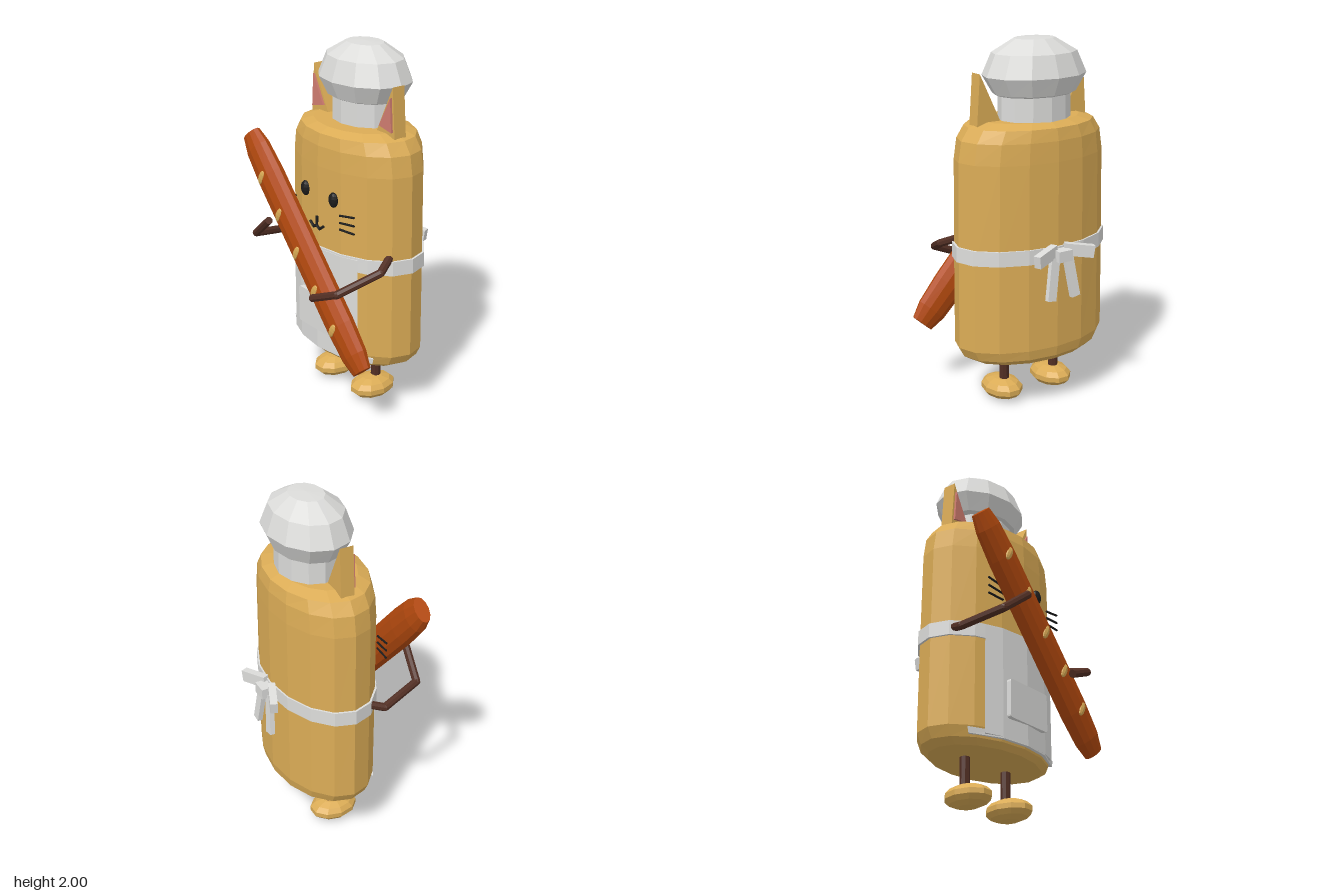
import * as THREE from 'three';

const mat = (name, color) => {
  const m = new THREE.MeshStandardMaterial({ color });
  m.name = name;
  return m;
};

export function createModel() {
  const model = new THREE.Group();
  const fur = mat('tan fur', 0xdbac56);
  const white = mat('white cloth', 0xdcdcda);
  const crust = mat('crust', 0xb3490e);
  const brown = mat('dark brown limbs', 0x522f24);
  const pink = mat('pink ear', 0xd07c70);
  const black = mat('black', 0x1c1c1c);

  // Adds a faceted mesh
  const add = (name, geo, material, pos = [0, 0, 0], rot = [0, 0, 0]) => {
    const g = geo.index ? geo.toNonIndexed() : geo;
    g.computeVertexNormals();
    const mesh = new THREE.Mesh(g, material);
    mesh.name = name;
    mesh.position.set(...pos);
    mesh.rotation.set(...rot);
    model.add(mesh);
    return mesh;
  };

  // Evenly spaced angles of a full turn
  const turn = (n) => Array.from({ length: n + 1 }, (_, i) => (i / n) * Math.PI * 2);

  // Skin over elliptical rings [y, x radius, z radius]
  const loft = (rings, angles) => {
    const pos = [], idx = [], n = angles.length;
    for (const [y, rx, rz] of rings) {
      for (const a of angles) pos.push(rx * Math.sin(a), y, rz * Math.cos(a));
    }
    for (let r = 0; r < rings.length - 1; r++) {
      for (let i = 0; i < n - 1; i++) {
        const a = r * n + i, b = a + 1, c = b + n, d = a + n;
        if (rings[r][1] > 0) idx.push(a, b, c);
        if (rings[r + 1][1] > 0) idx.push(a, c, d);
        else idx.push(a, b, d);
      }
    }
    const g = new THREE.BufferGeometry();
    g.setAttribute('position', new THREE.Float32BufferAttribute(pos, 3));
    g.setIndex(idx);
    return g;
  };

  // Straight round rod between two points
  const rod = (name, a, b, r, material, sides = 8) => {
    const p = new THREE.Vector3(...a), q = new THREE.Vector3(...b);
    const d = q.clone().sub(p);
    const mesh = add(name, new THREE.CylinderGeometry(r, r, d.length(), sides), material,
      p.clone().add(q).multiplyScalar(0.5).toArray());
    mesh.quaternion.setFromUnitVectors(new THREE.Vector3(0, 1, 0), d.normalize());
  };

  const ellipsoid = (name, material, pos, size, rot, w = 10, h = 7) =>
    add(name, new THREE.SphereGeometry(1, w, h).scale(...size), material, pos, rot);

  // Body
  const bodyZ = -0.062;
  add('body', loft([
    [0.28, 0, 0], [0.28, 0.37, 0.235], [0.31, 0.42, 0.262], [0.365, 0.45, 0.272],
    [0.85, 0.446, 0.272], [1.38, 0.438, 0.271], [1.49, 0.42, 0.268],
    [1.555, 0.375, 0.255], [1.58, 0.29, 0.2], [1.58, 0, 0],
  ], turn(16)), fur, [0, 0, bodyZ]);

  // Belt
  add('belt', loft([
    [0.85, 0.44, 0.268], [0.85, 0.459, 0.281], [0.93, 0.457, 0.281], [0.93, 0.436, 0.268],
  ], turn(16)), white, [0, 0, bodyZ]);

  // Apron panel wrapped round the front, with a wider hem
  const eighth = Math.PI / 8;
  const wrap = (end) => [-end, -eighth, 0, eighth, end];
  add('apron', loft([
    [0.33, 0.4, 0.25], [0.33, 0.456, 0.284], [0.92, 0.456, 0.284], [0.92, 0.4, 0.25],
  ], wrap(0.65)), white, [0, 0, bodyZ]);
  add('apronHem', loft([
    [0.322, 0.4, 0.25], [0.322, 0.44, 0.284], [0.355, 0.45, 0.284], [0.355, 0.4, 0.25],
  ], wrap(0.9)), white, [0, 0, bodyZ]);

  // Pocket with rounded corners
  const pocket = new THREE.Shape();
  const pw = 0.152, ph = 0.105, pr = 0.015;
  pocket.moveTo(-pw + pr, -ph).lineTo(pw - pr, -ph);
  pocket.quadraticCurveTo(pw, -ph, pw, -ph + pr).lineTo(pw, ph - pr);
  pocket.quadraticCurveTo(pw, ph, pw - pr, ph).lineTo(-pw + pr, ph);
  pocket.quadraticCurveTo(-pw, ph, -pw, ph - pr).lineTo(-pw, -ph + pr);
  pocket.quadraticCurveTo(-pw, -ph, -pw + pr, -ph);
  add('pocket', new THREE.ExtrudeGeometry(pocket, { depth: 0.025, bevelEnabled: false, curveSegments: 3 }),
    white, [0, 0.54, 0.207]);

  // Hat: band and puffed crown
  add('hatBand', loft([[1.55, 0.203, 0.16], [1.73, 0.203, 0.16]], turn(12)), white, [0, 0, -0.108]);
  add('hatCrown', loft([
    [1.7, 0, 0], [1.7, 0.19, 0.145], [1.715, 0.235, 0.18], [1.81, 0.293, 0.222],
    [1.925, 0.24, 0.182], [1.995, 0.115, 0.09], [2.0, 0, 0],
  ], turn(12)), white, [0, 0, -0.108]);

  // Ears, eyes, whiskers, legs, feet and bow halves, mirrored
  const triangle = (pts, s, depth) => new THREE.ExtrudeGeometry(
    new THREE.Shape(pts.map(([x, y]) => new THREE.Vector2(x * s, y))), { depth, bevelEnabled: false });
  for (const s of [1, -1]) {
    const side = s > 0 ? 'left' : 'right';
    add(side + 'Ear', triangle([[0.345, 1.55], [0.325, 1.83], [0.19, 1.55]], s, 0.076), fur, [0, 0, -0.096]);
    add(side + 'InnerEar', triangle([[0.33, 1.595], [0.318, 1.775], [0.233, 1.615]], s, 0.012), pink, [0, 0, -0.02]);
    ellipsoid(side + 'Eye', black, [s * 0.12, 1.222, 0.2], [0.032, 0.042, 0.022]);
    for (const [y0, y1] of [[1.16, 1.178], [1.12, 1.132], [1.083, 1.087]]) {
      rod(side + 'Whisker', [s * 0.19, y0, 0.214], [s * 0.298, y1, 0.205], 0.006, black, 6);
    }
    rod(side + 'Mouth', [0, 1.05, 0.22], [s * 0.025, 1.035, 0.22], 0.008, black, 6);
    rod(side + 'MouthCorner', [s * 0.022, 1.033, 0.22], [s * 0.058, 1.058, 0.218], 0.008, black, 6);
    rod(side + 'Leg', [s * 0.165, 0.08, -0.06], [s * 0.165, 0.31, -0.06], 0.027, brown);
    ellipsoid(side + 'Foot', fur, [s * 0.165, 0.067, -0.037], [0.106, 0.062, 0.14]);
    add(side + 'BowLoop', new THREE.BoxGeometry(0.165, 0.066, 0.04), white,
      [s * 0.105, 0.9, -0.372], [0, s * 0.38, s * -0.15]);
    add(side + 'BowTail', new THREE.BoxGeometry(0.052, 0.23, 0.028), white,
      [s * 0.06, 0.765, -0.37], [0.08, 0, s * 0.16]);
  }
  rod('mouthLine', [0, 1.1, 0.216], [0, 1.045, 0.22], 0.008, black, 6);
  add('bowKnot', new THREE.BoxGeometry(0.085, 0.06, 0.07), white, [0, 0.89, -0.37]);

  // Long loaf held across the front
  const tilt = 0.733;
  add('loaf', loft([
    [-0.712, 0, 0], [-0.712, 0.07, 0.04], [-0.62, 0.094, 0.056], [-0.45, 0.103, 0.064],
    [0.45, 0.103, 0.064], [0.62, 0.094, 0.056], [0.712, 0.07, 0.04], [0.712, 0, 0],
  ], turn(12)), crust, [0, 0.925, 0.296], [0, 0, tilt]);
  for (let i = -2; i <= 2; i++) {
    ellipsoid('loafScore', fur, [-0.005 + i * 0.153, 0.922 - i * 0.169, 0.352],
      [0.024, 0.046, 0.013], [0, 0, -0.45], 8, 6);
  }

  // Bent arms holding the loaf
  const arms = {
    leftArm: [[0.39, 0.945, 0.04], [0.435, 0.9, 0.14], [0.35, 0.81, 0.36], [0.175, 0.735, 0.388]],
    rightArm: [[-0.39, 0.9, 0.04], [-0.425, 0.872, 0.13], [-0.365, 0.925, 0.36], [-0.2, 1.055, 0.388]],
  };
  for (const [name, p] of Object.entries(arms)) {
    for (let i = 0; i < 3; i++) rod(name, p[i], p[i + 1], 0.022, brown);
    for (let i = 1; i < 3; i++) ellipsoid(name + 'Joint', brown, p[i], [0.022, 0.022, 0.022], [0, 0, 0], 8, 6);
  }
  return model;
}
